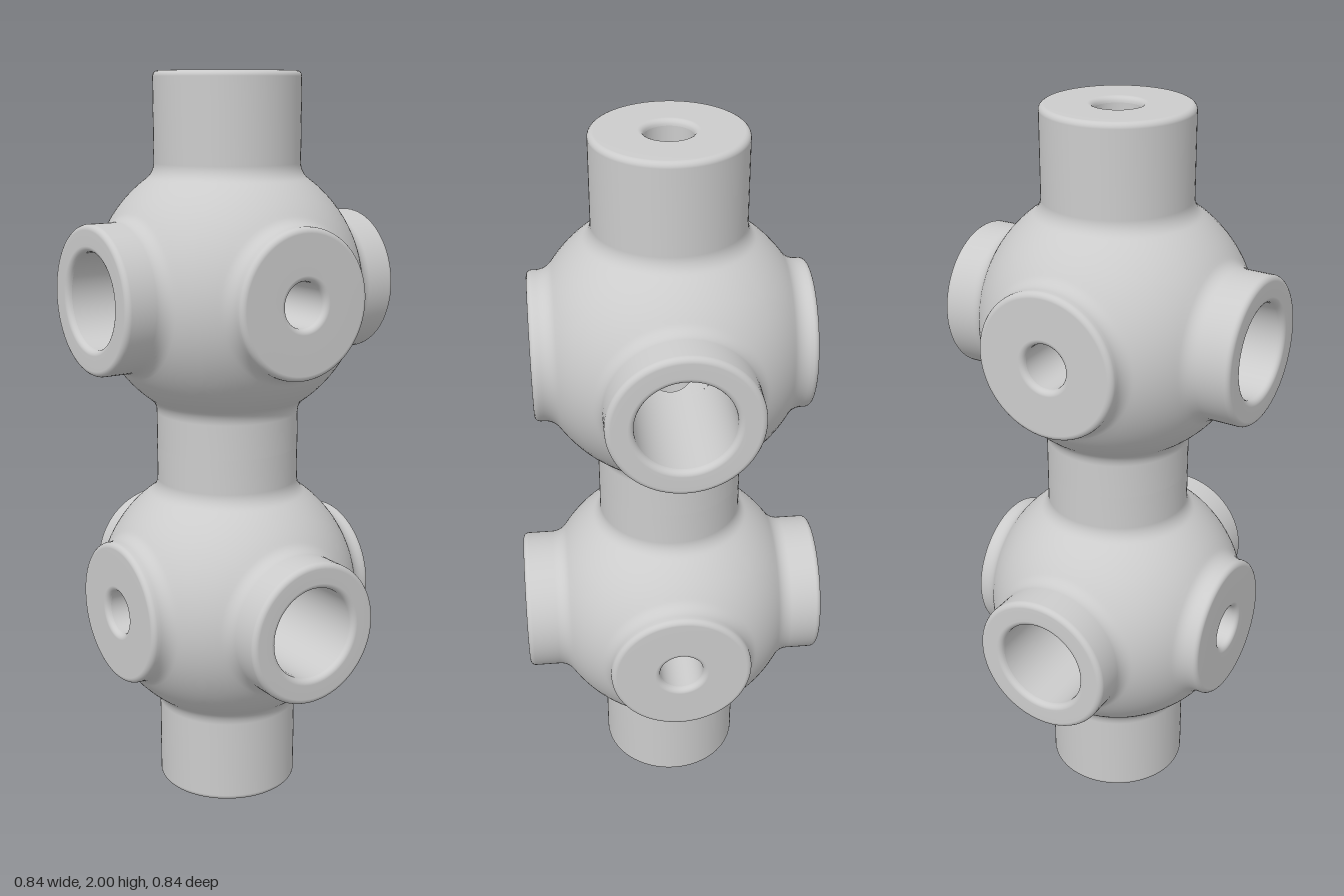
import * as THREE from 'three';
import { mergeGeometries, mergeVertices } from 'three/addons/utils/BufferGeometryUtils.js';

const SEG = 80;                        // steps round each arm (multiple of 8)
const BALL = 0.365, ARM = 0.195;       // ball and arm radius
const WIDE = 0.125, NARROW = 0.06;     // bore radii
const EDGE = 0.015, FILLET = 0.05;     // rim rounding and ball-to-arm blend
const CHAMBER = 0.1;                   // half length of the inner chamber
const SPACING = 0.43, END = 0.57;      // ball centre to neck middle / to end face

const X = new THREE.Vector3(1, 0, 0), Y = new THREE.Vector3(0, 1, 0);

// Sweep a profile round an axis; profile(phi) gives [u, v, h] points in the axis frame
function sweep(axis, e1, profile) {
  const e2 = new THREE.Vector3().crossVectors(axis, e1);
  const pos = [], idx = [];
  let n = 0;
  for (let j = 0; j < SEG; j++) {
    const points = profile((j / SEG) * Math.PI * 2);
    n = points.length;
    for (const [u, v, h] of points) {
      const p = new THREE.Vector3().addScaledVector(e1, u).addScaledVector(e2, v).addScaledVector(axis, h);
      pos.push(p.x, p.y, p.z);
    }
  }
  for (let j = 0; j < SEG; j++) {
    const a = j * n, b = ((j + 1) % SEG) * n;
    for (let i = 0; i < n - 1; i++) {
      idx.push(a + i, a + i + 1, b + i + 1, a + i, b + i + 1, b + i);
    }
  }
  const geo = new THREE.BufferGeometry();
  geo.setAttribute('position', new THREE.Float32BufferAttribute(pos, 3));
  geo.setIndex(idx);
  return geo;
}

// Points [r, h] on a circular arc
function arc(r, h, radius, from, to, steps) {
  return Array.from({ length: steps + 1 }, (_, i) => {
    const t = from + ((to - from) * i) / steps;
    return [r + radius * Math.cos(t), h + radius * Math.sin(t)];
  });
}

const squareFactor = (phi) => Math.max(Math.abs(Math.cos(phi)), Math.abs(Math.sin(phi)));

// Outside of one arm with its share of the ball, a sixth bounded like a cube face
function armSkin({ axis, e1, reach, bore, open }) {
  const hc = Math.sqrt((BALL + FILLET) ** 2 - (ARM + FILLET) ** 2);
  const blend = Math.atan2(hc, ARM + FILLET);
  const rim = open ? [[ARM, reach]] : [
    ...arc(bore + EDGE, reach - EDGE, EDGE, Math.PI, Math.PI / 2, 5),
    ...arc(ARM - EDGE, reach - EDGE, EDGE, Math.PI / 2, 0, 5),
  ];
  const outline = [...rim, ...arc(ARM + FILLET, hc, FILLET, Math.PI, Math.PI + blend, 7)];
  return sweep(axis, e1, (phi) => {
    const start = Math.PI / 2 - blend, stop = Math.atan(1 / squareFactor(phi));
    const ball = [];
    for (let i = 1; i <= 6; i++) {
      const t = start + ((stop - start) * i) / 6;
      ball.push([BALL * Math.sin(t), BALL * Math.cos(t)]);
    }
    return [...outline, ...ball].map(([r, h]) => [r * Math.cos(phi), r * Math.sin(phi), h]);
  });
}

// Inside wall of one arm; narrow bores end on the wall of the wide one
function armBore({ axis, e1, reach, bore, open }) {
  const top = open ? reach : reach - EDGE;
  return sweep(axis, e1, (phi) => {
    const u = bore * Math.cos(phi), v = bore * Math.sin(phi);
    const bottom = bore === WIDE ? CHAMBER : Math.sqrt(WIDE ** 2 - v ** 2);
    return [[u, v, bottom], [u, v, top]];
  });
}

// Quarter of the wide bore's middle, pierced by a narrow bore
function chamberQuarter({ axis, e1 }) {
  return sweep(axis, e1, (phi) => {
    const m = squareFactor(phi), c = Math.cos(phi), s = Math.sin(phi);
    const points = [];
    for (let i = 0; i <= 6; i++) {
      const t = i / 6;
      const u = THREE.MathUtils.lerp((CHAMBER * c) / m, NARROW * c, t);
      const angle = THREE.MathUtils.lerp((Math.PI / 4) * (s / m), Math.asin((NARROW * s) / WIDE), t);
      points.push([u, WIDE * Math.sin(angle), WIDE * Math.cos(angle)]);
    }
    return points;
  });
}

function addMesh(group, name, parts, material) {
  const geo = mergeVertices(mergeGeometries(parts), 1e-5);
  geo.computeVertexNormals();
  const mesh = new THREE.Mesh(geo, material);
  mesh.name = name;
  group.add(mesh);
}

// Ball with six arms: wide bore along x, narrow bores along y and z
function createNode(name, material) {
  const arms = [
    { axis: Y, e1: X, reach: END, bore: NARROW },
    { axis: Y.clone().negate(), e1: X, reach: SPACING, bore: NARROW, open: true },
  ];
  for (const side of [1, -1]) {
    arms.push({ axis: new THREE.Vector3(side, 0, 0), e1: Y, reach: 0.42, bore: WIDE });
    arms.push({ axis: new THREE.Vector3(0, 0, side), e1: X, reach: 0.36, bore: NARROW });
  }
  const node = new THREE.Group();
  node.name = name;
  addMesh(node, 'ballAndArms', arms.map(armSkin), material);
  addMesh(node, 'wideBore', arms.filter((a) => a.bore === WIDE).map(armBore), material);
  addMesh(node, 'narrowBores', arms.filter((a) => a.bore === NARROW).map(armBore), material);
  addMesh(node, 'innerChamber', arms.filter((a) => a.bore === NARROW).map(chamberQuarter), material);
  return node;
}

export function createModel() {
  const model = new THREE.Group();
  model.name = 'doubleConnector';
  const material = new THREE.MeshStandardMaterial({ color: 0xcccccc });

  const upper = createNode('upperNode', material);
  upper.position.y = 1 + SPACING;

  // Same node upside down and turned a quarter
  const lower = createNode('lowerNode', material);
  lower.position.y = 1 - SPACING;
  lower.rotation.set(0, Math.PI / 2, Math.PI);

  model.add(upper, lower);
  return model;
}
